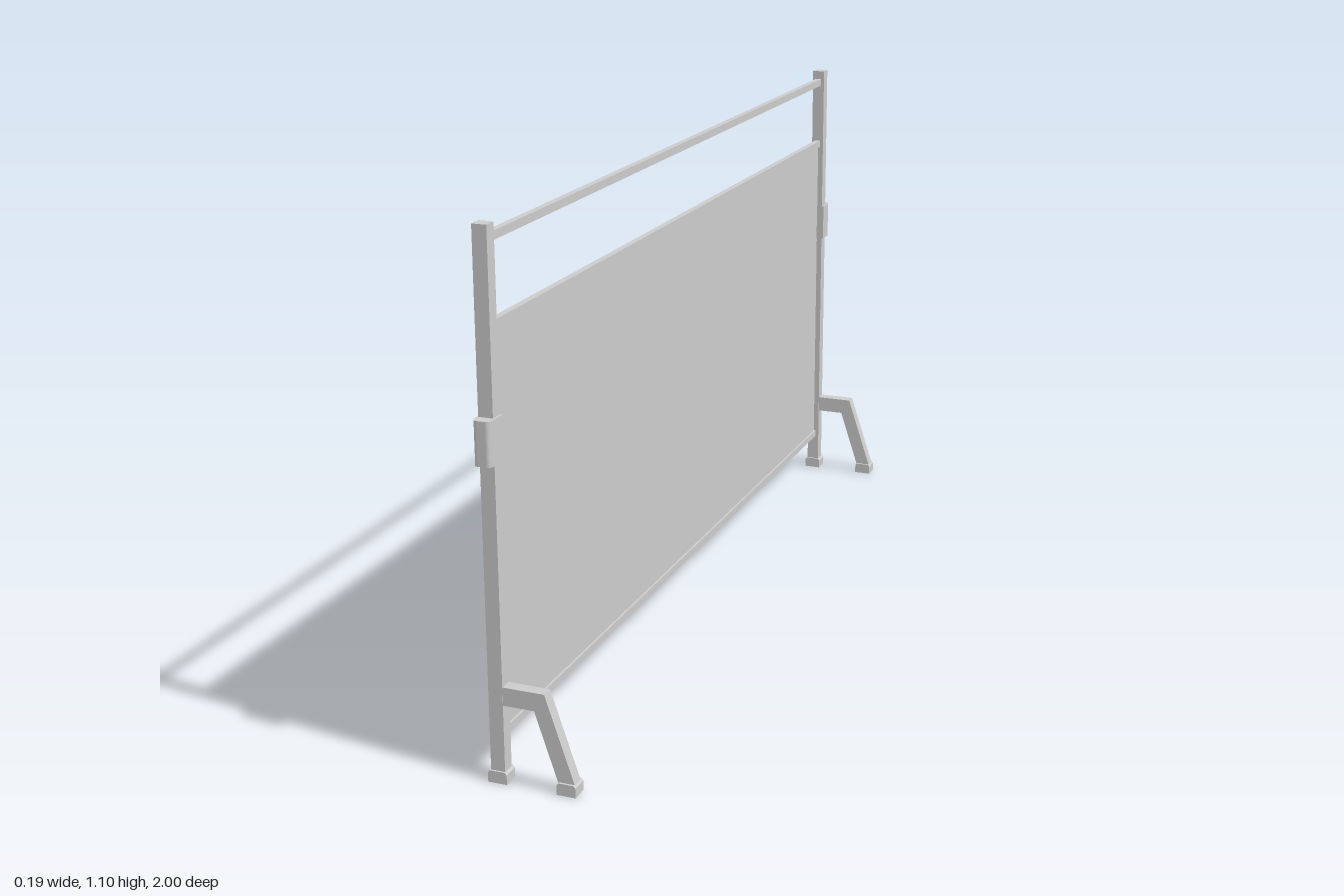
import * as THREE from 'three';

const POST_X = -0.075, POST_Z = 0.963;

export function createModel() {
  const model = new THREE.Group();
  model.name = 'barrierScreen';
  const mat = new THREE.MeshStandardMaterial({ color: 0xcccccc });

  const add = (parent, name, geo, x = 0, y = 0, z = 0) => {
    const mesh = new THREE.Mesh(geo, mat);
    mesh.name = name;
    mesh.position.set(x, y, z);
    parent.add(mesh);
    return mesh;
  };
  const box = (parent, name, w, h, d, x, y, z) =>
    add(parent, name, new THREE.BoxGeometry(w, h, d), x, y, z);
  const extrude = (points, depth) => {
    const shape = new THREE.Shape(points.map(([x, y]) => new THREE.Vector2(x, y)));
    return new THREE.ExtrudeGeometry(shape, { depth, bevelEnabled: false });
  };

  // Foot cap with a chamfered top
  const foot = (parent, name, x) => {
    const geo = extrude(
      [[-0.02, 0], [0.02, 0], [0.02, 0.02], [0.016, 0.025], [-0.016, 0.025], [-0.02, 0.02]], 0.036);
    geo.translate(0, 0, -0.018);
    add(parent, name, geo, x, 0, 0);
  };

  // Bent side leg: horizontal arm and sloping strut
  const legGeo = extrude(
    [[-0.062, 0.165], [0.005, 0.165], [0.053, 0.02], [0.088, 0.02], [0.027, 0.203], [-0.062, 0.203]], 0.026);
  legGeo.translate(0, 0, -0.013);

  // Clamp: upright sleeve, rounded on its outer side
  const outline = new THREE.Shape();
  outline.moveTo(-0.019, 0.016);
  outline.lineTo(-0.019, -0.022);
  outline.quadraticCurveTo(-0.017, -0.037, -0.009, -0.037);
  outline.lineTo(0.009, -0.037);
  outline.quadraticCurveTo(0.017, -0.037, 0.019, -0.022);
  outline.lineTo(0.019, 0.016);
  outline.closePath();
  const clampGeo = new THREE.ExtrudeGeometry(outline, { depth: 0.088, bevelEnabled: false, curveSegments: 6 });
  clampGeo.rotateX(-Math.PI / 2);

  // End frames at both ends of the screen
  for (const side of [1, -1]) {
    const end = new THREE.Group();
    end.name = side > 0 ? 'frontEndFrame' : 'backEndFrame';
    end.position.z = side * POST_Z;
    if (side < 0) end.scale.z = -1;
    model.add(end);
    box(end, 'post', 0.03, 1.09, 0.028, POST_X, 0.555, 0);
    add(end, 'sideLeg', legGeo);
    foot(end, 'postFoot', POST_X);
    foot(end, 'legFoot', 0.07);
    add(end, 'clamp', clampGeo, POST_X + 0.001, 0.652, 0);
  }

  // Panel with edge rails, and the handrail above it
  const span = 2 * (POST_Z - 0.012);
  box(model, 'panel', 0.004, 0.82, span, POST_X, 0.503, 0);
  box(model, 'bottomRail', 0.014, 0.016, span, POST_X, 0.098, 0);
  box(model, 'panelTopRail', 0.014, 0.016, span, POST_X, 0.908, 0);
  box(model, 'handrail', 0.014, 0.017, span, POST_X, 1.071, 0);

  return model;
}
